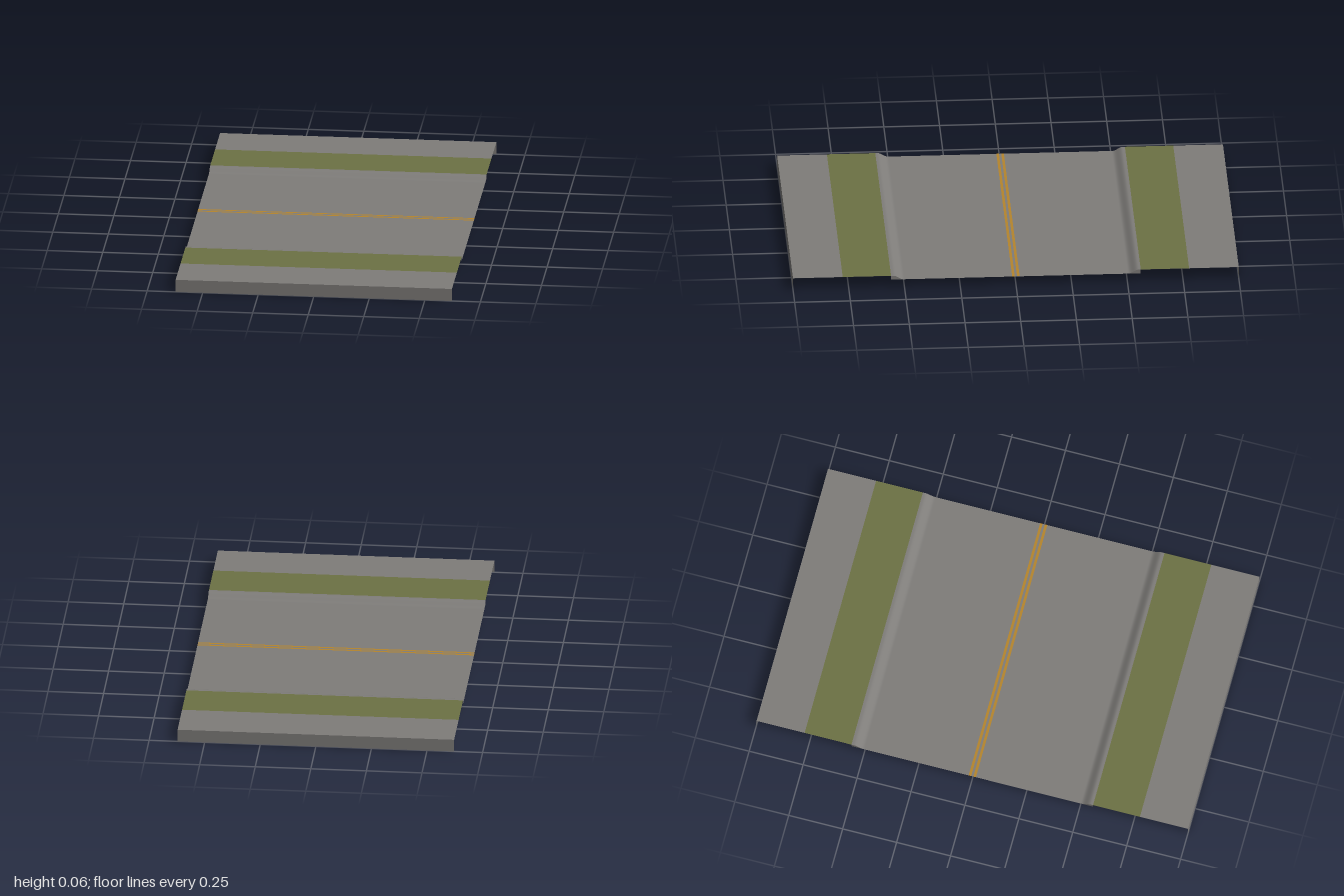
import * as THREE from 'three';

const WIDTH = 1.244, ROAD_Y = 0.038, WALK_Y = 0.057;
const CURB_IN = 0.5, CURB_OUT = 0.56, GRASS_OUT = 0.777;

const material = (name, color) => {
  const m = new THREE.MeshStandardMaterial({ color, side: THREE.DoubleSide });
  m.name = name;
  return m;
};

// Horizontal strip across the full width, from z0 to z1
function strip(name, mat, z0, z1, y, segments = 1) {
  const g = new THREE.PlaneGeometry(WIDTH, z1 - z0, 1, segments);
  g.rotateX(-Math.PI / 2).translate(0, y, (z0 + z1) / 2);
  const mesh = new THREE.Mesh(g, mat);
  mesh.name = name;
  return mesh;
}

// Height of the rolled curb at a distance from the road centre
const curbHeight = (d) =>
  ROAD_Y + (WALK_Y - ROAD_Y) * THREE.MathUtils.smoothstep(d, CURB_IN + 0.003, CURB_OUT - 0.01);

export function createModel() {
  const root = new THREE.Group();
  root.name = 'streetSection';
  const concrete = material('grey paving', 0x7f7d7a);
  const grass = material('grass green', 0x6d7244);
  const paint = material('line yellow', 0xb5852e);

  // Road with a double centre line
  root.add(strip('road', concrete, -CURB_IN, CURB_IN, ROAD_Y));
  for (const z of [-0.011, 0.011]) {
    root.add(strip('centreLine', paint, z - 0.0058, z + 0.0058, ROAD_Y + 0.001));
  }

  for (const s of [1, -1]) {
    const side = new THREE.Group();
    side.name = s > 0 ? 'frontSide' : 'backSide';
    const span = (a, b) => (s > 0 ? [a, b] : [-b, -a]);

    // Rolled curb, an open curved sheet
    const curb = strip('curb', concrete, ...span(CURB_IN, CURB_OUT), 0, 14);
    const p = curb.geometry.attributes.position;
    for (let i = 0; i < p.count; i++) p.setY(i, curbHeight(Math.abs(p.getZ(i))));
    curb.geometry.computeVertexNormals();
    side.add(curb);

    // Curb end caps
    const outline = new THREE.Shape();
    outline.moveTo(s * CURB_OUT, ROAD_Y);
    for (let i = 0; i <= 14; i++) {
      const d = CURB_OUT + (CURB_IN - CURB_OUT) * i / 14;
      outline.lineTo(s * d, curbHeight(d));
    }
    for (const x of [-1, 1]) {
      const cap = new THREE.Mesh(new THREE.ShapeGeometry(outline).rotateY(-Math.PI / 2), concrete);
      cap.name = 'curbEnd';
      cap.position.x = x * WIDTH / 2;
      side.add(cap);
    }

    // Grass verge and sidewalk
    side.add(strip('grassVerge', grass, ...span(CURB_OUT, GRASS_OUT), WALK_Y));
    side.add(strip('sidewalk', concrete, ...span(GRASS_OUT, 1), WALK_Y));

    // Outer skirt down to the ground
    const skirt = new THREE.Mesh(new THREE.PlaneGeometry(WIDTH, WALK_Y), concrete);
    skirt.name = 'skirt';
    skirt.position.set(0, WALK_Y / 2, s);
    if (s < 0) skirt.rotation.y = Math.PI;
    side.add(skirt);
    root.add(side);
  }
  return root;
}
